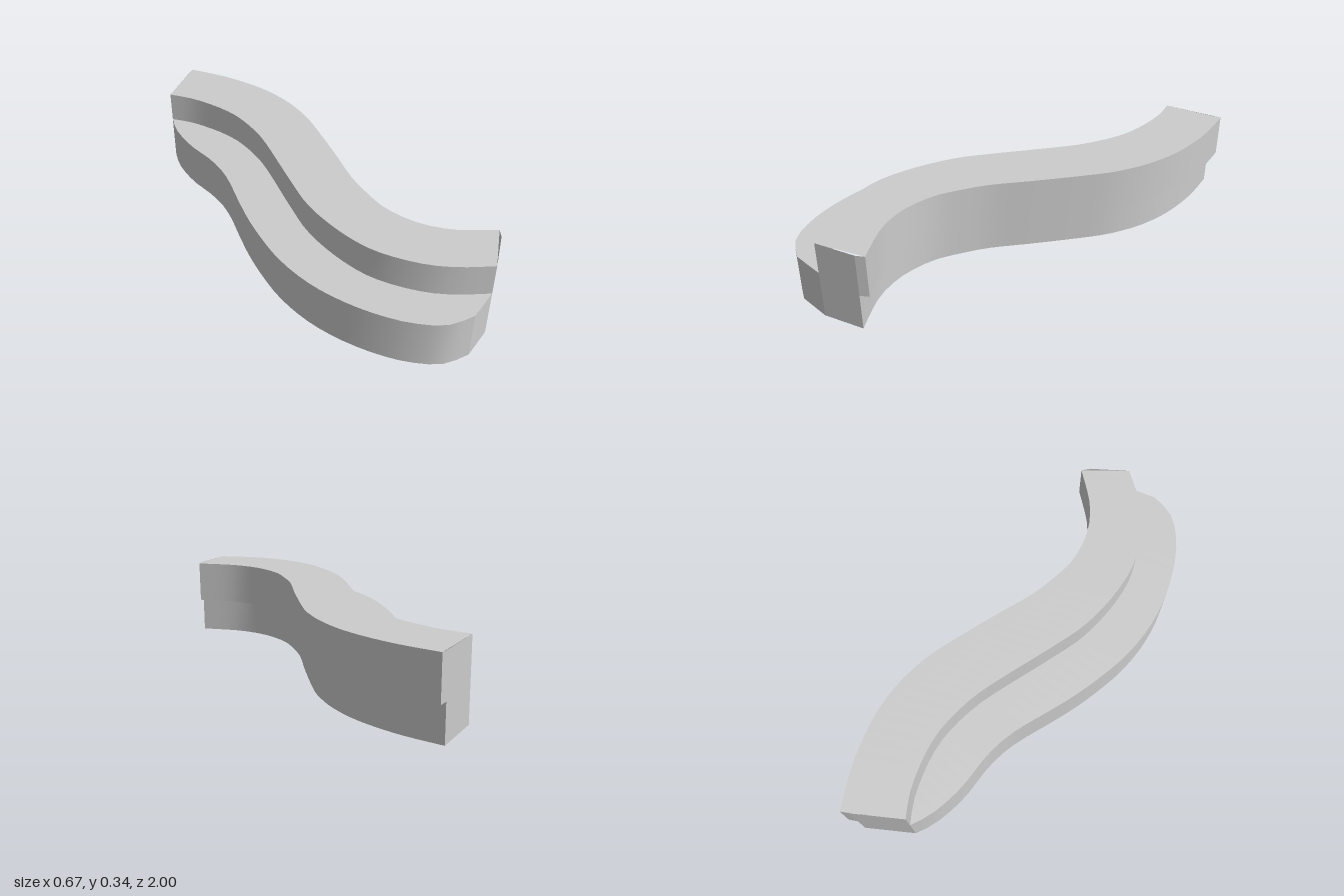
import * as THREE from 'three';

const STEPS = 36;
const FLOOR = 0, LEDGE = 0.16, STEP = 0.207, TOP = 0.345;
const LIP = 0.04; // how far the upper block overhangs the base

const material = new THREE.MeshStandardMaterial({ color: 0xcccccc, side: THREE.DoubleSide });

// Plan curves as (x, z) points running from the back to the front
const plan = (pairs) => new THREE.SplineCurve(pairs.map(([x, z]) => new THREE.Vector2(x, z)));

const rightCurve = plan([
  [0.16, -1], [0.235, -0.855], [0.285, -0.72], [0.315, -0.595], [0.325, -0.46], [0.315, -0.35],
  [0.293, -0.245], [0.205, 0.013], [0.135, 0.2], [0.108, 0.32], [0.093, 0.43], [0.108, 0.54],
  [0.135, 0.615], [0.177, 0.685], [0.23, 0.743], [0.333, 0.83],
]);
const middleCurve = plan([
  [-0.065, -0.865], [-0.008, -0.77], [0.034, -0.653], [0.056, -0.553], [0.06, -0.458],
  [0.045, -0.33], [0.013, -0.21], [-0.08, 0.06], [-0.13, 0.225], [-0.147, 0.4],
  [-0.135, 0.56], [-0.093, 0.68], [-0.024, 0.796], [0.056, 0.88], [0.16, 0.96],
]);
const leftCurve = plan([
  [-0.065, -0.865], [-0.103, -0.78], [-0.124, -0.685], [-0.133, -0.59], [-0.13, -0.473],
  [-0.14, -0.368], [-0.167, -0.267], [-0.22, -0.13], [-0.267, 0], [-0.304, 0.135],
  [-0.33, 0.267], [-0.337, 0.4], [-0.325, 0.527], [-0.293, 0.653], [-0.246, 0.77],
  [-0.183, 0.876], [-0.093, 0.965], [0.02, 0.997],
]);

const right = rightCurve.getSpacedPoints(STEPS);
const middle = middleCurve.getSpacedPoints(STEPS);
const left = leftCurve.getSpacedPoints(STEPS);

// Base wall on the right: the upper edge moved inwards along its normal
const inset = right.map((p, i) => {
  const t = rightCurve.getTangentAt(i / STEPS);
  return new THREE.Vector2(p.x - t.y * LIP, p.y + t.x * LIP);
});

// Strip of quads between two plan lines, each at its own height
function ribbon(name, lineA, yA, lineB, yB) {
  const positions = [], index = [];
  lineA.forEach((a, i) => {
    const b = lineB[i];
    positions.push(a.x, yA, a.y, b.x, yB, b.y);
    if (i > 0) {
      const k = 2 * i - 2;
      index.push(k, k + 1, k + 2, k + 1, k + 3, k + 2);
    }
  });
  const geometry = new THREE.BufferGeometry();
  geometry.setAttribute('position', new THREE.Float32BufferAttribute(positions, 3));
  geometry.setIndex(index);
  geometry.computeVertexNormals();
  const mesh = new THREE.Mesh(geometry, material);
  mesh.name = name;
  return mesh;
}

// Upright rectangle between two plan points
const panel = (name, p, q, low, high) => ribbon(name, [p, q], low, [p, q], high);

export function createModel() {
  const model = new THREE.Group();
  model.name = 'curvedStep';

  // Long surfaces, going round the section; the underside is open
  model.add(
    ribbon('baseRightWall', inset, FLOOR, inset, LEDGE),
    ribbon('overhangUnderside', inset, LEDGE, right, LEDGE),
    ribbon('upperRightWall', right, LEDGE, right, TOP),
    ribbon('upperTop', right, TOP, middle, TOP),
    ribbon('upperLeftWall', middle, TOP, middle, STEP),
    ribbon('stepTop', middle, STEP, left, STEP),
    ribbon('baseLeftWall', left, STEP, left, FLOOR),
  );

  // End caps; at the back the step narrows to nothing
  const n = STEPS;
  model.add(
    panel('frontCapOverhang', right[n], inset[n], LEDGE, TOP),
    panel('frontCapBlock', inset[n], middle[n], FLOOR, TOP),
    panel('frontCapStep', middle[n], left[n], FLOOR, STEP),
    panel('backCapBlock', middle[0], inset[0], FLOOR, TOP),
    panel('backCapOverhang', inset[0], right[0], LEDGE, TOP),
  );
  return model;
}
